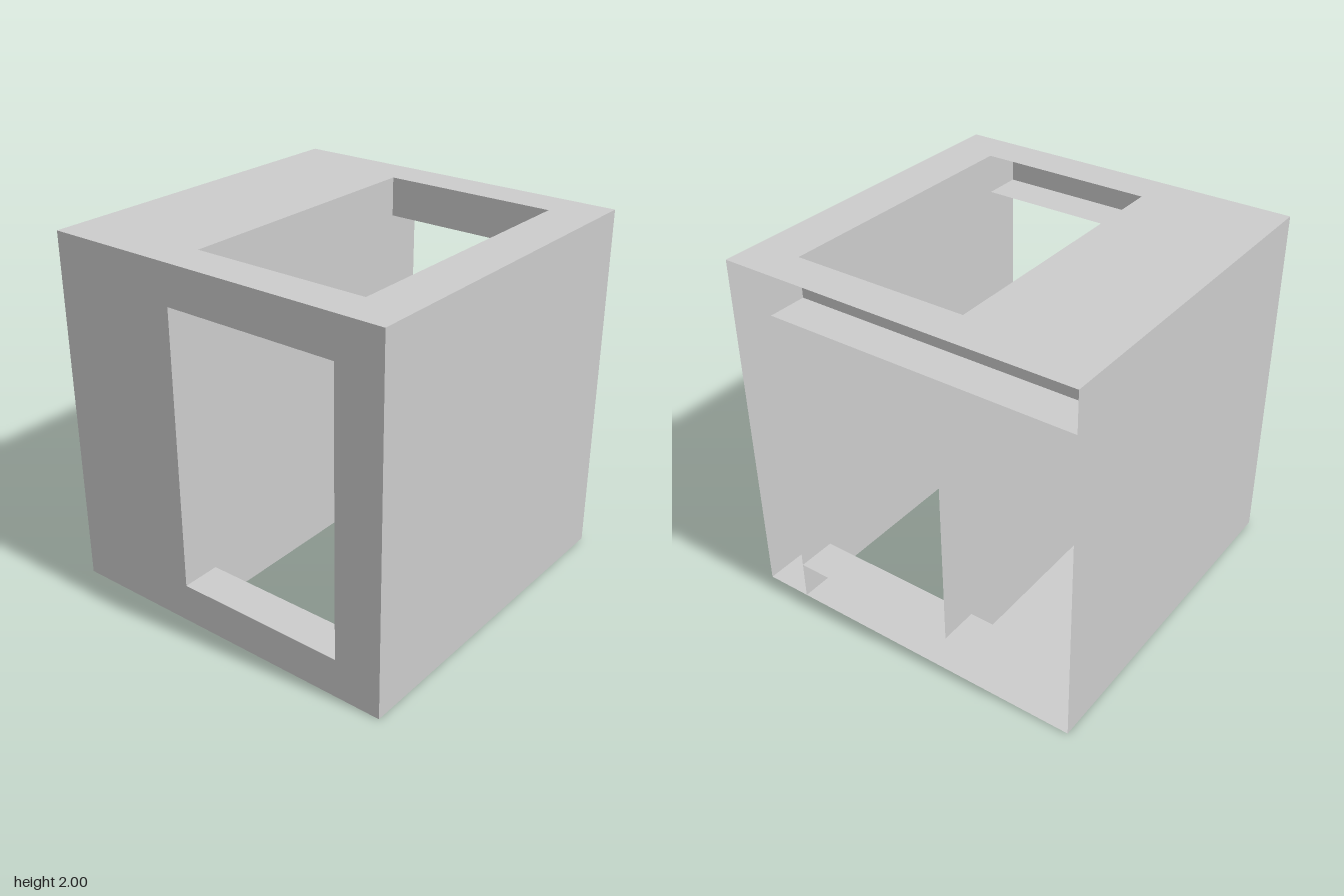
import * as THREE from 'three';

const W = 0.78;                // half width of the openings
const LOW = 0.22, HIGH = 1.78; // heights of the inner ledges
const ZB = -0.253, ZF = 0.735; // depth range of the openings

const material = new THREE.MeshStandardMaterial({ color: 0xcccccc, side: THREE.DoubleSide, flatShading: true });

const rect = (u0, u1, v0, v1) => [[u0, v0], [u1, v0], [u1, v1], [u0, v1]];
const toPoints = (list) => list.map(([u, v]) => new THREE.Vector2(u, v));

export function createModel() {
  const group = new THREE.Group();

  // Thin sheet across one axis: outline is (z, y) for x, (x, z) for y, (x, y) for z
  function sheet(name, axis, at, outline, hole) {
    const shape = new THREE.Shape(toPoints(outline));
    if (hole) shape.holes.push(new THREE.Path(toPoints(hole)));
    const geometry = new THREE.ShapeGeometry(shape);
    if (axis === 'x') geometry.rotateY(-Math.PI / 2);
    if (axis === 'y') geometry.rotateX(Math.PI / 2);
    const mesh = new THREE.Mesh(geometry, material);
    mesh.name = name;
    mesh.position[axis] = at;
    group.add(mesh);
  }

  // Outer shell, open on the right side
  const face = rect(-1, 1, 0, 2);
  sheet('frontPanel', 'z', 1, face);
  sheet('backPanel', 'z', -1, face);
  sheet('leftPanel', 'x', -1, face, rect(ZB, ZF, LOW, HIGH));
  for (const [name, y] of [['bottomPanel', 0], ['topPanel', 2]]) {
    sheet(name, 'y', y, rect(-1, 1, -1, 1), rect(-W, W, ZB, ZF));
  }

  // Inner panels; the rear one is notched around the corner channels
  sheet('innerFrontPanel', 'z', ZF, face);
  sheet('innerRearPanel', 'z', ZB, [
    [-W, 0], [W, 0], [W, LOW], [1, LOW], [1, HIGH], [W, HIGH],
    [W, 2], [-W, 2], [-W, HIGH], [-1, HIGH], [-1, LOW], [-W, LOW],
  ]);

  // Ledges along the four side edges, and upright lips on the open side
  for (const [level, y, y0, y1] of [['lower', LOW, 0, LOW], ['upper', HIGH, HIGH, 2]]) {
    sheet(level + 'LeftLedge', 'y', y, rect(-1, -W, -1, ZF));
    sheet(level + 'RightLedge', 'y', y, rect(W, 1, -1, ZF));
    sheet(level + 'RightLip', 'x', W, rect(-1, ZF, y0, y1));
  }

  return group;
}
